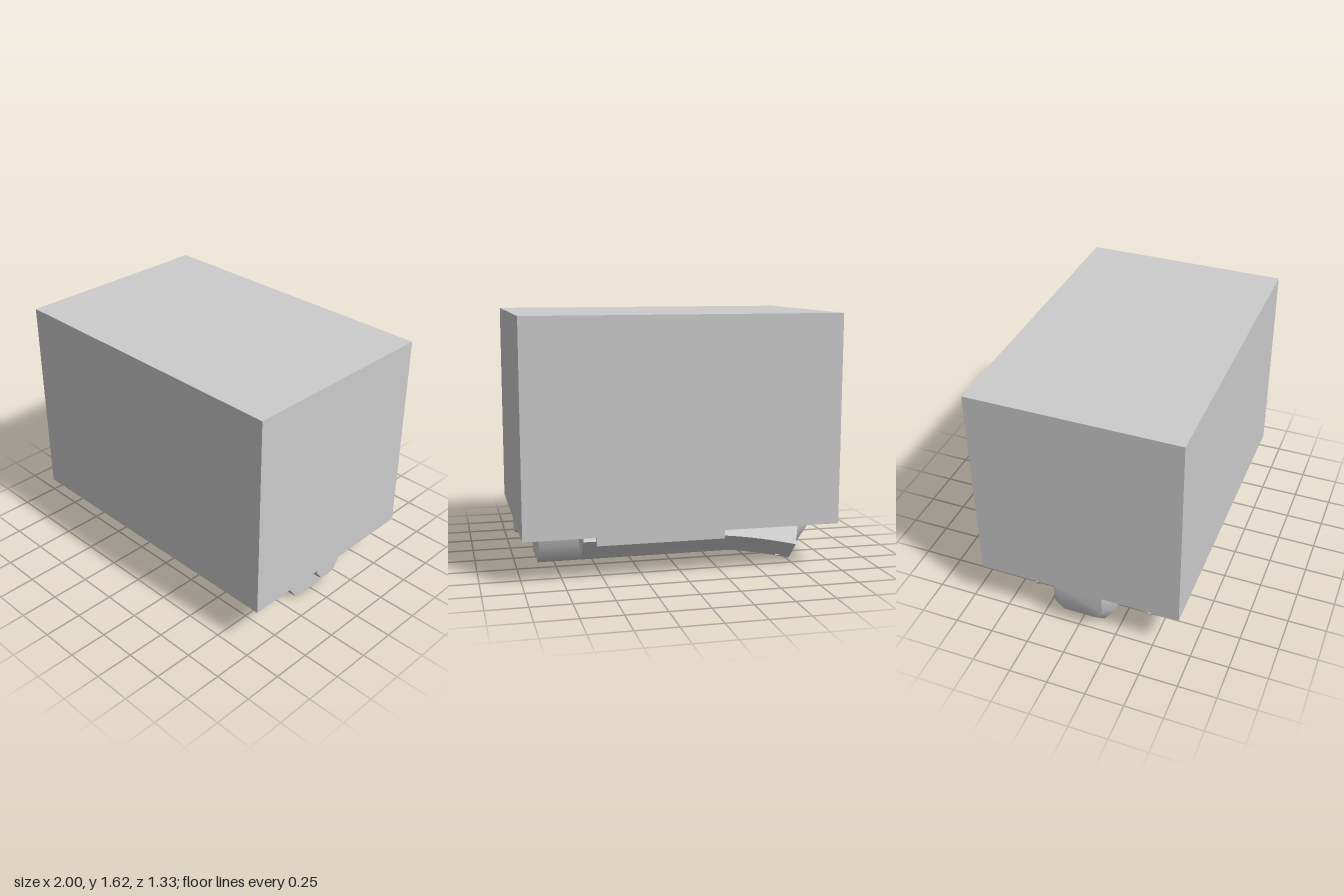
import * as THREE from 'three';
import { toCreasedNormals } from 'three/addons/utils/BufferGeometryUtils.js';

const grey = new THREE.MeshStandardMaterial({ color: 0xcccccc });

function add(group, name, geometry) {
  const mesh = new THREE.Mesh(geometry, grey);
  mesh.name = name;
  group.add(mesh);
  return mesh;
}

// Skin a row of equal-length loops of [x, y, z] running toward +x, capped at both ends
function loft(loops, crease) {
  const n = loops[0].length;
  const index = [];
  for (let i = 0; i < loops.length - 1; i++) {
    for (let j = 0; j < n; j++) {
      const k = (j + 1) % n;
      const a = i * n + j, b = i * n + k, c = a + n, d = b + n;
      index.push(a, b, d, a, d, c);
    }
  }
  const last = (loops.length - 1) * n;
  for (let j = 1; j < n - 1; j++) {
    index.push(0, j + 1, j, last, last + j, last + j + 1);
  }
  const g = new THREE.BufferGeometry();
  g.setAttribute('position', new THREE.Float32BufferAttribute(loops.flat(2), 3));
  g.setIndex(index);
  return toCreasedNormals(g, crease);
}

// Six-sided keel section: half width at the side and bottom, shoulder and bottom heights
function keelLoop(x, side, bottom, shoulderY, bottomY) {
  return [
    [x, 0.3, -side], [x, 0.3, side], [x, shoulderY, side],
    [x, bottomY, bottom], [x, bottomY, -bottom], [x, shoulderY, -side],
  ];
}

// Square pod section turned 45 degrees, u = 0 on the straight part and 1 at the flared end
function podLoop(x, u) {
  const d = 0.078 * Math.pow(u, 1.8);
  const t = 0.115 + 0.005 * u;
  const xi = x - 0.06 * u;
  const z = 0.325 + d, y = 0.082 + -d;
  return [
    [xi, y + 0.125 + t, z + 0.125 - t], [x, y + 0.125, z + 0.125],
    [x, y, z], [xi, y + t, z - t],
  ];
}

// Shrink a loop around its centre and push it along x
function inset(loop, scale, dx) {
  const c = [0, 1, 2].map((a) => loop.reduce((s, p) => s + p[a], 0) / loop.length);
  return loop.map((p) => p.map((v, a) => c[a] + (v - c[a]) * scale + (a === 0 ? dx : 0)));
}

function createModel() {
  const model = new THREE.Group();
  model.name = 'model';

  // Large block
  const block = add(model, 'block', new THREE.BoxGeometry(2, 1.33, 1.333));
  block.position.y = 0.955;

  // Central keel with a tapered nose
  add(model, 'keel', loft([
    keelLoop(-1, 0.16, 0.1, 0.17, 0.11),
    keelLoop(-0.9, 0.215, 0.135, 0.12, 0.005),
    keelLoop(0.855, 0.215, 0.135, 0.12, 0.005),
  ], 1.02));

  // Ten-sided plug at the end of the keel
  const profile = [[0, 0.8], [0.103, 0.8], [0.103, 0.89], [0.112, 0.9], [0.112, 0.97], [0.106, 0.99], [0, 0.99]]
    .map(([r, h]) => new THREE.Vector2(r, h));
  const plug = new THREE.LatheGeometry(profile, 10, Math.PI / 2);
  plug.rotateZ(-Math.PI / 2);
  plug.translate(0, 0.29, 0);
  add(model, 'endPlug', toCreasedNormals(plug, 0.7));

  // Side pods with a hollow flared end, and the rail above each
  const steps = 12;
  const stations = [];
  for (let i = 0; i <= steps; i++) {
    const u = 1 - i / steps;
    stations.push(podLoop(-0.1 - 0.67 * u, u));
  }
  stations.push(podLoop(0.6, 0));
  const rim = stations[0];
  const podLoops = [inset(rim, 0.8, 0.1), inset(rim, 0.85, 0), ...stations];

  for (const side of [1, -1]) {
    const loops = side > 0 ? podLoops
      : podLoops.map((l) => l.map(([x, y, z]) => [x, y, -z]).reverse());
    const name = side > 0 ? 'front' : 'back';
    add(model, name + 'Pod', loft(loops, 0.5));
    const rail = add(model, name + 'Rail', new THREE.BoxGeometry(0.83, 0.12, 0.105));
    rail.position.set(0.105, 0.24, side * 0.4125);
  }
  return model;
}

export { createModel };
